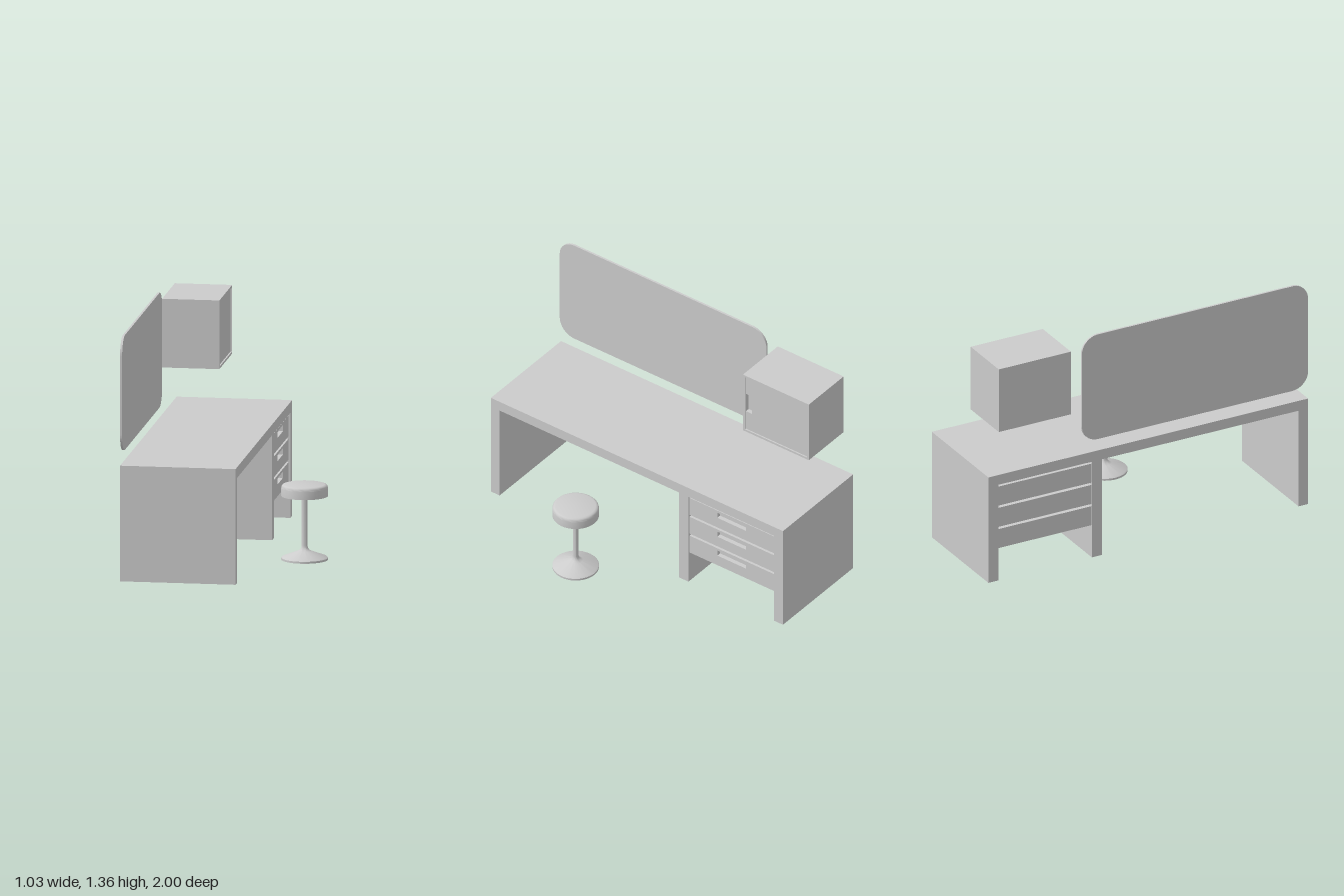
import * as THREE from 'three';
import { toCreasedNormals } from 'three/addons/utils/BufferGeometryUtils.js';

const material = new THREE.MeshStandardMaterial({ color: 0xcccccc });

function add(parent, name, geometry) {
  const mesh = new THREE.Mesh(geometry, material);
  mesh.name = name;
  parent.add(mesh);
  return mesh;
}

// Box given by its lower and upper limits on each axis
function box(parent, name, [x0, x1], [y0, y1], [z0, z1]) {
  add(parent, name, new THREE.BoxGeometry(x1 - x0, y1 - y0, z1 - z0))
    .position.set((x0 + x1) / 2, (y0 + y1) / 2, (z0 + z1) / 2);
}

function rectangle(path, [y0, y1], [z0, z1]) {
  path.moveTo(-z1, y0);
  path.lineTo(-z0, y0);
  path.lineTo(-z0, y1);
  path.lineTo(-z1, y1);
  path.closePath();
  return path;
}

// Upright panel in the z-y plane, extruded along x
function panel(parent, name, shape, [x0, x1]) {
  const g = new THREE.ExtrudeGeometry(shape, { depth: x1 - x0, bevelEnabled: false, curveSegments: 12 });
  g.rotateY(Math.PI / 2).translate(x0, 0, 0);
  add(parent, name, toCreasedNormals(g, 0.6));
}

// Block whose +x face has a sunken finger pull
function frontWithPull(parent, name, [x0, x1], ys, zs, pullY, pullZ, depth) {
  const shape = rectangle(new THREE.Shape(), ys, zs);
  shape.holes.push(rectangle(new THREE.Path(), pullY, pullZ));
  panel(parent, name + 'Front', shape, [x1 - depth, x1]);
  box(parent, name + 'Body', [x0, x1 - depth], ys, zs);
}

function lathe(parent, name, points) {
  const g = new THREE.LatheGeometry(points.map(([r, y]) => new THREE.Vector2(r, y)), 40);
  add(parent, name, toCreasedNormals(g, 0.6));
}

function group(parent, name) {
  const g = new THREE.Group();
  g.name = name;
  parent.add(g);
  return g;
}

export function createModel() {
  const model = new THREE.Group();
  model.name = 'dressingTableSet';
  const back = -0.515, front = 0.125;

  // Desk: top and three slab legs
  const desk = group(model, 'desk');
  box(desk, 'deskTop', [back, front], [0.585, 0.645], [-1, 1]);
  for (const [z0, z1] of [[0.94, 1], [-0.353, -0.29], [-1, -0.937]]) {
    box(desk, 'slabLeg', [back, front], [0, 0.585], [z0, z1]);
  }

  // Three drawers separated by open gaps
  for (let i = 0; i < 3; i++) {
    const y = 0.195 + i * 0.13;
    frontWithPull(group(desk, 'drawer'), 'drawer', [back + 0.005, front - 0.01],
      [y, y + 0.116], [-0.937, -0.353], [y + 0.066, y + 0.101], [-0.74, -0.543], 0.025);
  }

  // Wall cabinet: case with a door set inside its rim
  const cabinet = group(model, 'wallCabinet');
  const cy = [0.907, 1.29], cz = [-0.935, -0.484], rim = 0.013;
  const dy = [cy[0] + rim, cy[1] - rim], dz = [cz[0] + rim, cz[1] - rim];
  const rimShape = rectangle(new THREE.Shape(), cy, cz);
  rimShape.holes.push(rectangle(new THREE.Path(), dy, dz));
  panel(cabinet, 'cabinetRim', rimShape, [-0.24, -0.197]);
  box(cabinet, 'cabinetCase', [back, -0.24], cy, cz);
  frontWithPull(cabinet, 'cabinetDoor', [-0.24, -0.205], dy, dz, [1.04, 1.16], [-0.54, -0.499], 0.025);

  // Mirror: thin plate with rounded corners
  const m = new THREE.Shape();
  const u0 = -1, u1 = 0.415, v0 = 0.715, v1 = 1.355, r = 0.1;
  m.absarc(u1 - r, v0 + r, r, -Math.PI / 2, 0);
  m.absarc(u1 - r, v1 - r, r, 0, Math.PI / 2);
  m.absarc(u0 + r, v1 - r, r, Math.PI / 2, Math.PI);
  m.absarc(u0 + r, v0 + r, r, Math.PI, Math.PI * 1.5);
  m.closePath();
  panel(model, 'mirror', m, [back, -0.503]);

  // Stool: flared foot with pole, and a cushion with a rounded top edge
  const stool = group(model, 'stool');
  stool.position.set(0.386, 0, 0.223);
  lathe(stool, 'stoolBase', [[0, 0], [0.128, 0], [0.128, 0.011], [0.122, 0.016],
    [0.04, 0.047], [0.026, 0.055], [0.018, 0.066], [0.016, 0.08], [0.016, 0.358]]);
  lathe(stool, 'stoolSeat', [[0, 0.355], [0.128, 0.355], [0.128, 0.4], [0.126, 0.41],
    [0.12, 0.417], [0.11, 0.42], [0, 0.42]]);

  return model;
}
